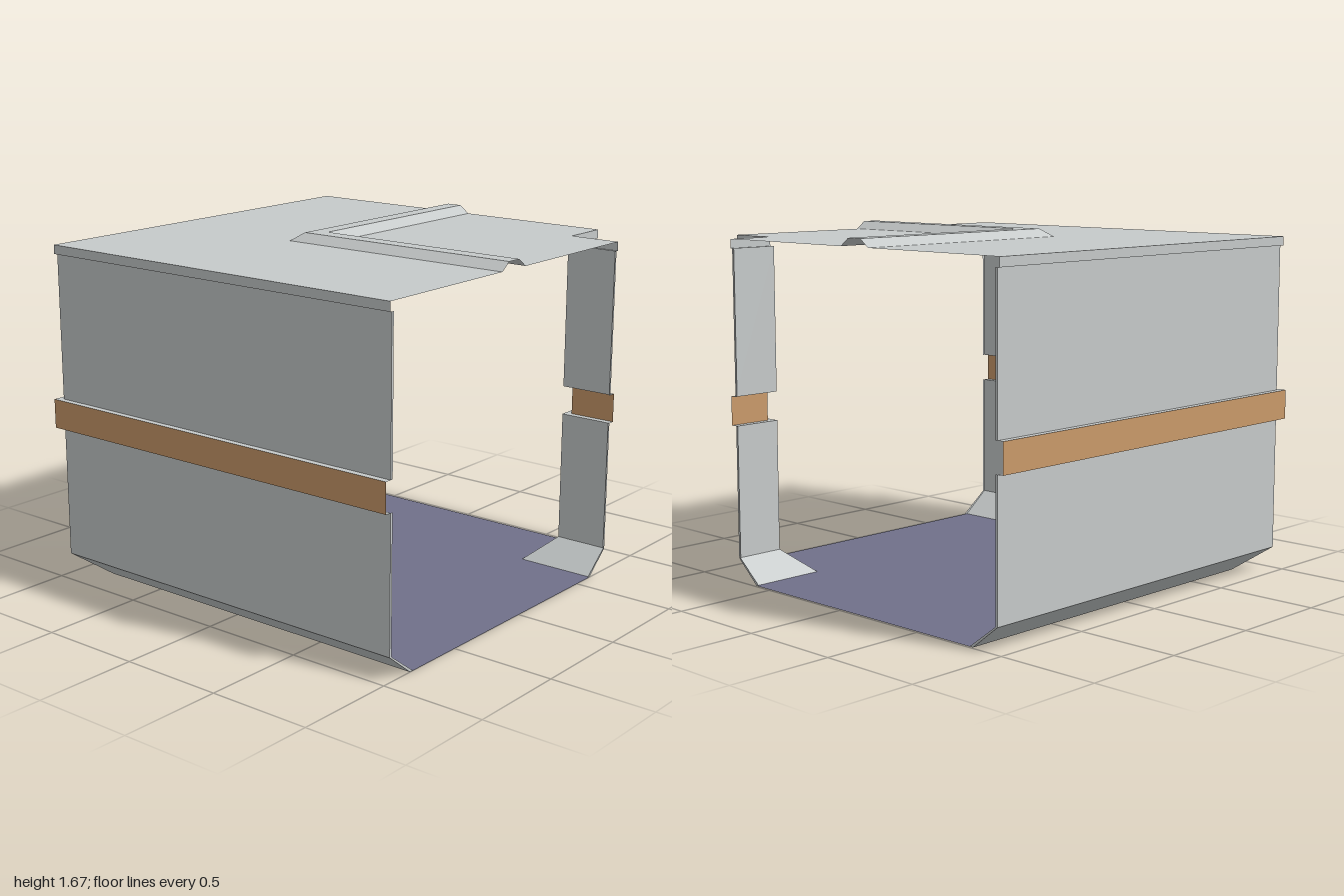
import * as THREE from 'three';

const FRONT = 1.0, SIDE = 0.99, SHIFT = -0.008; // open ends of the two legs, and z offset of the corner

// Cross-section pieces [u, y], clockwise; swept round the corner of the L
const OUT = -0.961, IN = 0.743;
const PARTS = [
  ['outerChamfer', 'shell', [[-0.82, 0], [OUT, 0.113]]],
  ['outerLowerWall', 'shell', [[OUT, 0.113], [OUT, 0.75], [-0.992, 0.75]]],
  ['outerBand', 'band', [[-0.992, 0.75], [-0.992, 0.89]]],
  ['outerUpperWall', 'shell', [[-0.992, 0.89], [OUT, 0.89], [OUT, 1.587]]],
  ['outerTrim', 'shell', [[OUT, 1.587], [-0.971, 1.587], [-0.971, 1.63]]],
  ['roof', 'shell', [[-0.971, 1.63], [-0.197, 1.63]]],
  ['roofRidge', 'shell', [[-0.197, 1.63], [-0.147, 1.668], [-0.07, 1.668], [-0.02, 1.63]]],
  ['innerRoof', 'shell', [[-0.02, 1.63], [0.755, 1.63]]],
  ['innerTrim', 'shell', [[0.755, 1.63], [0.755, 1.587], [IN, 1.587]]],
  ['innerUpperWall', 'shell', [[IN, 1.587], [IN, 0.89], [0.775, 0.89]]],
  ['innerBand', 'band', [[0.775, 0.89], [0.775, 0.75]]],
  ['innerLowerWall', 'shell', [[0.775, 0.75], [IN, 0.75], [IN, 0.113]]],
  ['innerChamfer', 'shell', [[IN, 0.113], [0.615, 0]]],
  ['floor', 'floor', [[0.615, 0], [-0.82, 0]]],
];

// Flat quads, each given as four corners
function quads(list) {
  const pos = [];
  for (const [a, b, c, d] of list) pos.push(...a, ...b, ...c, ...a, ...c, ...d);
  const g = new THREE.BufferGeometry();
  g.setAttribute('position', new THREE.Float32BufferAttribute(pos, 3));
  g.computeVertexNormals();
  return g;
}

// Three stations of the sweep: front end, mitred corner, side end
const atFront = ([u, y]) => [u, y, FRONT];
const atCorner = ([u, y]) => [u, y, u + SHIFT];
const atSide = ([u, y]) => [SIDE, y, u + SHIFT];

function sweep(profile) {
  const list = [];
  for (let i = 0; i < profile.length - 1; i++) {
    const a = profile[i], b = profile[i + 1];
    list.push([atFront(a), atFront(b), atCorner(b), atCorner(a)]);
    list.push([atCorner(a), atCorner(b), atSide(b), atSide(a)]);
  }
  return quads(list);
}

// Narrow rim faces showing the wall thickness at both open ends
function rims() {
  const list = [];
  for (const [u, foot, s] of [[OUT, -0.82, 1], [IN, 0.615, -1]]) {
    const strips = [
      [[foot, 0], [u, 0.113], 0.02, 0.012],
      [[u, 0.113], [u, 0.75], 0.012, 0.012],
      [[u, 0.89], [u, 1.587], 0.012, 0.012],
    ];
    for (const [a, b, da, db] of strips) {
      const a2 = [a[0] + s * da, a[1]], b2 = [b[0] + s * db, b[1]];
      const face = s > 0 ? [a, a2, b2, b] : [b, b2, a2, a];
      list.push(face.map(atFront), face.map(atSide).reverse());
    }
  }
  return quads(list);
}

export function createModel() {
  const make = (name, color) => {
    const m = new THREE.MeshStandardMaterial({ color, side: THREE.DoubleSide });
    m.name = name;
    return m;
  };
  const materials = {
    shell: make('paleGrey', 0xc6caca),
    band: make('copperOrange', 0xca9a6a),
    floor: make('slatePurple', 0x70708a),
  };
  const group = new THREE.Group();
  group.name = 'cornerPassage';
  const add = (name, geometry, material) => {
    const mesh = new THREE.Mesh(geometry, material);
    mesh.name = name;
    group.add(mesh);
  };
  for (const [name, mat, profile] of PARTS) add(name, sweep(profile), materials[mat]);
  add('endRims', rims(), materials.shell);
  return group;
}
